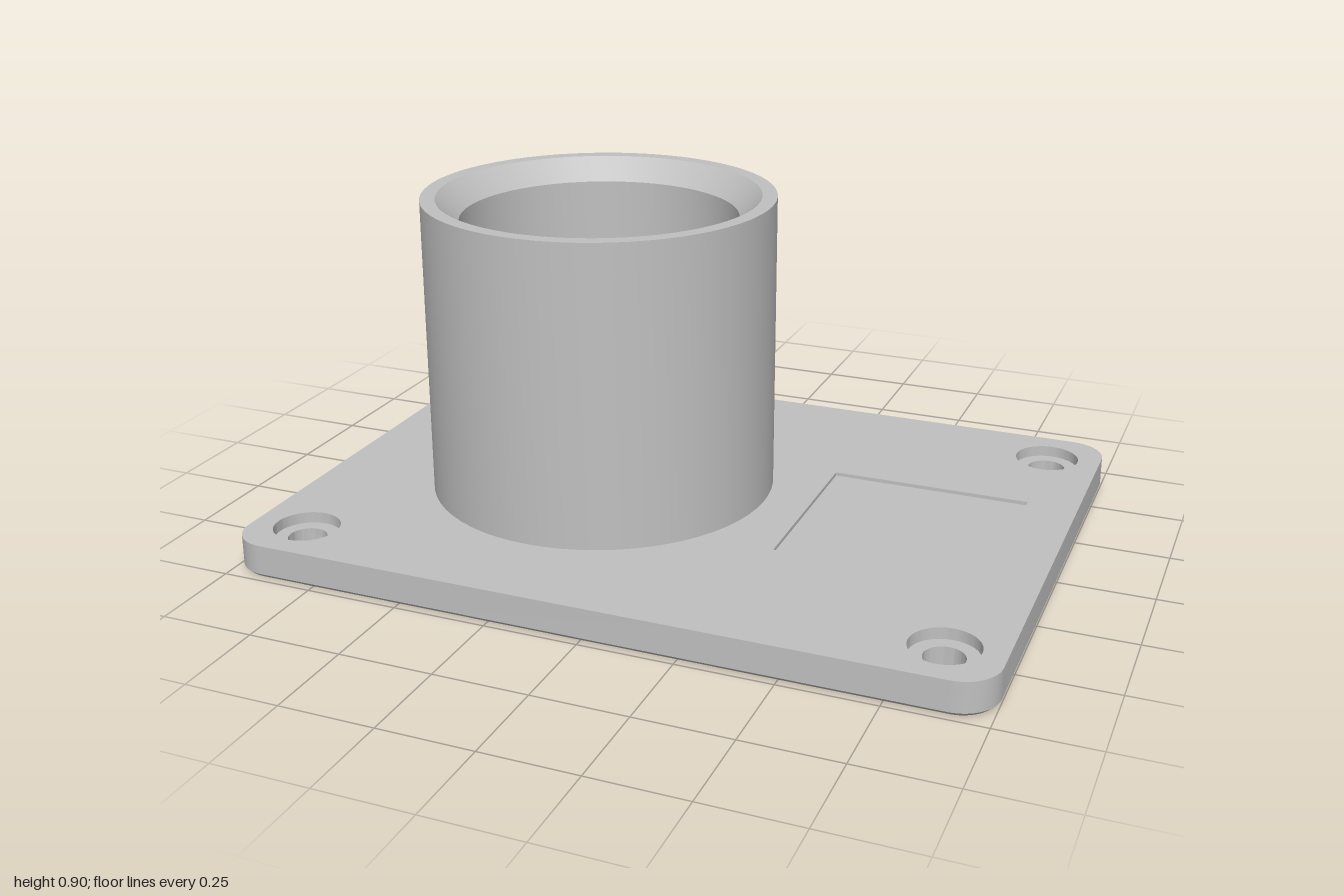
import * as THREE from 'three';
import { toCreasedNormals } from 'three/addons/utils/BufferGeometryUtils.js';

const SEG = 64;
const PLATE_TOP = 0.09;
const CUP_X = -0.267;
const HOLES = [[-0.853, -0.588], [0.853, -0.588], [-0.853, 0.588], [0.853, 0.588]];

// Counter-clockwise outlines as Vector2 lists
function roundedRect(hw, hd, r, n) {
  const pts = [];
  [[1, 1], [-1, 1], [-1, -1], [1, -1]].forEach(([sx, sy], q) => {
    for (let i = 0; i <= n; i++) {
      const a = (q + (n ? i / n : 0)) * Math.PI / 2;
      pts.push(new THREE.Vector2(sx * (hw - r) + r * Math.cos(a), sy * (hd - r) + r * Math.sin(a)));
    }
  });
  return pts;
}

function circle(x, y, r) {
  return Array.from({ length: SEG }, (_, i) => {
    const a = i / SEG * Math.PI * 2;
    return new THREE.Vector2(x + r * Math.cos(a), y + r * Math.sin(a));
  });
}

// Flat horizontal face with holes, facing up or down
function cap(outline, holes, y, up) {
  const shape = new THREE.Shape(outline);
  shape.holes = holes.map(h => new THREE.Path(h));
  return new THREE.ShapeGeometry(shape).rotateX(up ? -Math.PI / 2 : Math.PI / 2).translate(0, y, 0);
}

// Wall through stacked outlines; listing them top to bottom faces it inward
function wall(rings) {
  const pos = [], idx = [], n = rings[0].pts.length;
  rings.forEach(({ pts, y }) => pts.forEach(p => pos.push(p.x, y, -p.y)));
  for (let k = 0; k < rings.length - 1; k++) {
    for (let i = 0; i < n; i++) {
      const a = k * n + i, b = k * n + (i + 1) % n;
      idx.push(a, b, b + n, a, b + n, a + n);
    }
  }
  const g = new THREE.BufferGeometry();
  g.setAttribute('position', new THREE.Float32BufferAttribute(pos, 3));
  g.setIndex(idx);
  return toCreasedNormals(g, 0.5);
}

function turned(profile) {
  const pts = profile.map(([r, y]) => new THREE.Vector2(r, y));
  return toCreasedNormals(new THREE.LatheGeometry(pts, SEG), 0.5);
}

export function createModel() {
  const group = new THREE.Group();
  group.name = 'flangedSocket';
  const grey = new THREE.MeshStandardMaterial({ color: 0xc0c0c0 });
  grey.name = 'grey';
  const add = (name, geometry, parent = group) => {
    const mesh = new THREE.Mesh(geometry, grey);
    mesh.name = name;
    parent.add(mesh);
    return mesh;
  };

  // Base plate with a small chamfer round the bottom edge
  const plate = new THREE.Group();
  plate.name = 'basePlate';
  group.add(plate);
  const outer = roundedRect(1, 0.735, 0.1, 12);
  const foot = roundedRect(0.99, 0.725, 0.09, 12);
  const recess = roundedRect(0.27, 0.265, 0, 0);
  recess.forEach(p => { p.x += 0.595; });
  add('plateSides', wall([{ pts: foot, y: 0 }, { pts: outer, y: 0.01 }, { pts: outer, y: PLATE_TOP }]), plate);
  add('plateTop', cap(outer, [
    recess, circle(CUP_X, 0, 0.47), ...HOLES.map(([x, z]) => circle(x, z, 0.087)),
  ], PLATE_TOP, true), plate);
  add('plateUnderside', cap(foot, [
    circle(CUP_X, 0, 0.12), ...HOLES.map(([x, z]) => circle(x, z, 0.051)),
  ], 0, false), plate);

  // Shallow rectangular recess beside the cup
  const floorY = PLATE_TOP - 0.01;
  add('recessWalls', wall([{ pts: recess, y: PLATE_TOP }, { pts: recess, y: floorY }]), plate);
  add('recessFloor', cap(recess, [], floorY, true), plate);

  // Counterbored screw holes
  const bore = turned([[0.087, PLATE_TOP], [0.087, 0.06], [0.051, 0.06], [0.051, 0]]);
  for (const [x, z] of HOLES) add('screwHole', bore, plate).position.set(x, 0, z);

  // Cup with chamfered mouth, raised floor and central through hole
  add('cup', turned([
    [0.47, PLATE_TOP], [0.47, 0.9], [0.43, 0.9], [0.37, 0.84],
    [0.37, 0.61], [0.12, 0.61], [0.12, 0],
  ])).position.x = CUP_X;

  return group;
}
